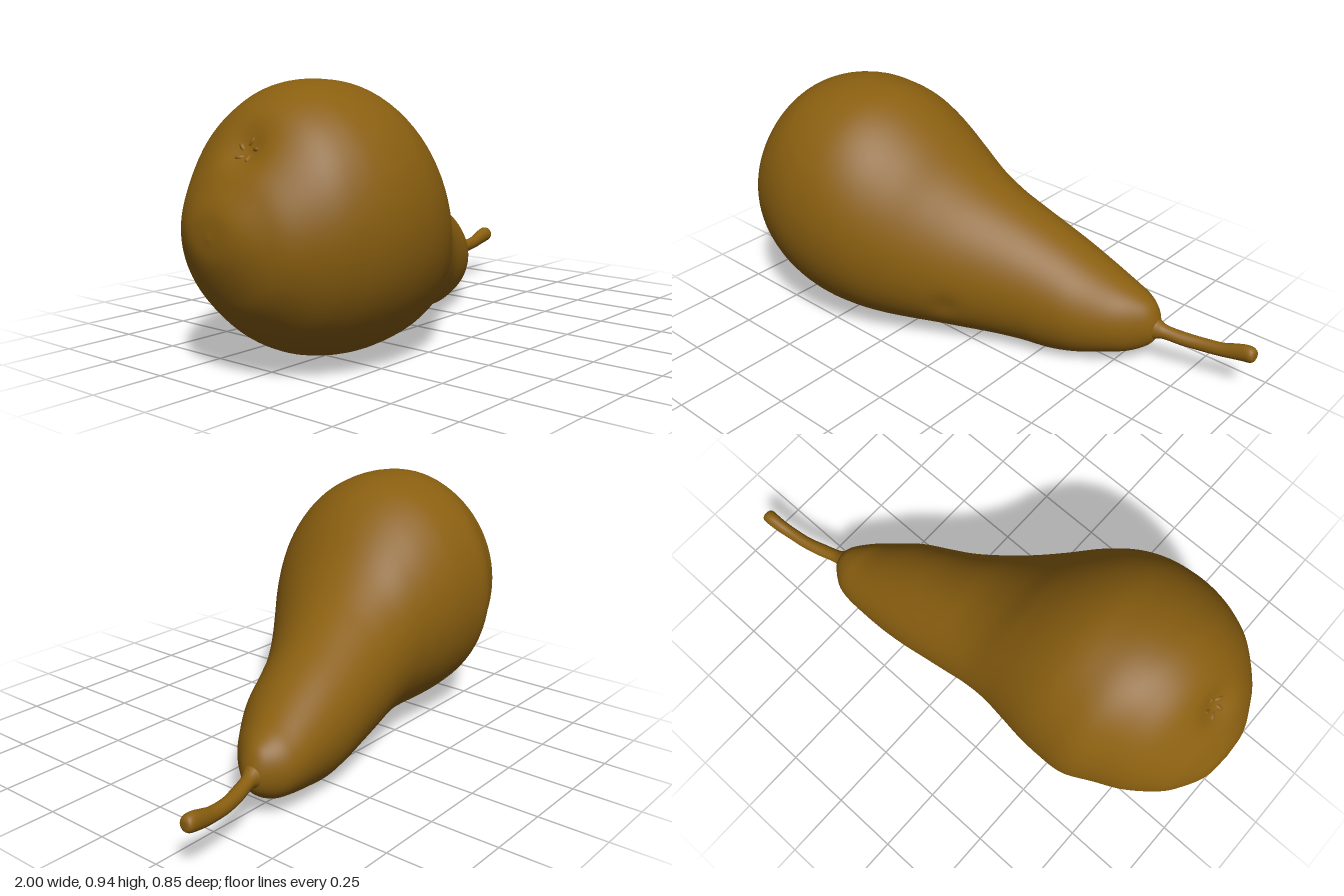
import * as THREE from 'three';

// Smooth skin through elliptical sections [x, yTop, yBottom, zBack, zFront], with optional dents
function loft(sections, steps, sides, dents = []) {
  const heights = new THREE.CatmullRomCurve3(sections.map(s => new THREE.Vector3(s[0], s[1], s[2])), false, 'catmullrom');
  const widths = new THREE.CatmullRomCurve3(sections.map(s => new THREE.Vector3(s[0], s[3], s[4])), false, 'catmullrom');
  const pos = [], index = [], p = new THREE.Vector3();
  for (let i = 0; i <= steps; i++) {
    const h = heights.getPoint(i / steps), w = widths.getPoint(i / steps);
    for (let j = 0; j < sides; j++) {
      const a = (j / sides) * Math.PI * 2;
      p.set(h.x, (h.y + h.z) / 2 + Math.cos(a) * (h.y - h.z) / 2, (w.y + w.z) / 2 + Math.sin(a) * (w.z - w.y) / 2);
      for (const d of dents) {
        const r = p.distanceTo(d.at) / d.radius;
        p.addScaledVector(d.dir, -d.depth * Math.exp(-r * r));
      }
      pos.push(p.x, p.y, p.z);
      if (i < steps) {
        const k = i * sides + j, n = i * sides + (j + 1) % sides;
        index.push(k, n, k + sides, n, n + sides, k + sides);
      }
    }
  }
  const g = new THREE.BufferGeometry();
  g.setAttribute('position', new THREE.Float32BufferAttribute(pos, 3));
  g.setIndex(index);
  g.computeVertexNormals();
  return g;
}

export function createModel() {
  const group = new THREE.Group();
  const skin = new THREE.MeshStandardMaterial({ color: 0x8a5f10 });
  skin.name = 'golden brown';
  const add = (name, geometry, parent = group) => {
    const m = new THREE.Mesh(geometry, skin);
    m.name = name;
    parent.add(m);
    return m;
  };

  // Fruit body: round belly, slanting to a narrow neck
  const blossom = new THREE.Vector3(-0.87, 0.735, 0.03);
  const blossomDir = new THREE.Vector3(-0.81, 0.58, 0.03).normalize();
  add('body', loft([
    [-1, 0.47, 0.47, 0, 0],
    [-0.99, 0.555, 0.39, -0.1, 0.1],
    [-0.95, 0.635, 0.29, -0.18, 0.19],
    [-0.9, 0.715, 0.21, -0.245, 0.265],
    [-0.8, 0.845, 0.115, -0.325, 0.35],
    [-0.7, 0.91, 0.06, -0.375, 0.395],
    [-0.6, 0.935, 0.03, -0.423, 0.418],
    [-0.5, 0.937, 0.016, -0.43, 0.42],
    [-0.4, 0.92, 0.015, -0.425, 0.405],
    [-0.3, 0.87, 0.02, -0.41, 0.37],
    [-0.2, 0.79, 0.025, -0.395, 0.31],
    [-0.1, 0.69, 0.025, -0.392, 0.235],
    [0, 0.61, 0.02, -0.4, 0.16],
    [0.1, 0.55, 0.015, -0.41, 0.09],
    [0.2, 0.495, 0.008, -0.42, 0.03],
    [0.3, 0.445, 0.003, -0.425, -0.015],
    [0.4, 0.39, 0.02, -0.425, -0.06],
    [0.5, 0.33, 0.045, -0.42, -0.13],
    [0.56, 0.3, 0.063, -0.405, -0.18],
    [0.61, 0.265, 0.095, -0.37, -0.235],
    [0.635, 0.22, 0.13, -0.34, -0.27],
    [0.645, 0.175, 0.175, -0.31, -0.31],
  ], 126, 80, [
    { at: blossom, dir: blossomDir, radius: 0.07, depth: 0.03 },
    { at: new THREE.Vector3(-0.02, 0.22, 0.13), dir: new THREE.Vector3(0.3, -0.3, 0.9), radius: 0.05, depth: 0.012 },
  ]));

  // Curved stem, flared at its root and thickened at its tip
  add('stem', loft([
    [0.6, 0.235, 0.115, -0.36, -0.25],
    [0.64, 0.21, 0.135, -0.345, -0.277],
    [0.67, 0.193, 0.14, -0.348, -0.295],
    [0.73, 0.184, 0.133, -0.365, -0.312],
    [0.8, 0.182, 0.13, -0.381, -0.333],
    [0.87, 0.188, 0.134, -0.392, -0.345],
    [0.92, 0.203, 0.14, -0.401, -0.352],
    [0.96, 0.214, 0.147, -0.406, -0.354],
    [0.985, 0.212, 0.153, -0.407, -0.354],
    [0.998, 0.2, 0.163, -0.4, -0.362],
    [1, 0.182, 0.182, -0.381, -0.381],
  ], 50, 20));

  // Dried blossom end: a ring of small curled sepals set in the dent
  const calyx = new THREE.Group();
  calyx.name = 'blossomEnd';
  calyx.position.copy(blossom).addScaledVector(blossomDir, -0.024);
  calyx.quaternion.setFromUnitVectors(new THREE.Vector3(0, 1, 0), blossomDir);
  group.add(calyx);
  for (let i = 0; i < 5; i++) {
    const a = (i / 5) * Math.PI * 2;
    const sepal = add('sepal', new THREE.SphereGeometry(1, 10, 8), calyx);
    sepal.scale.set(0.02, 0.01, 0.009);
    sepal.position.set(Math.cos(a) * 0.03, 0.008, Math.sin(a) * 0.03);
    sepal.rotation.set(0, -a - 0.5, 0.5);
  }
  return group;
}
